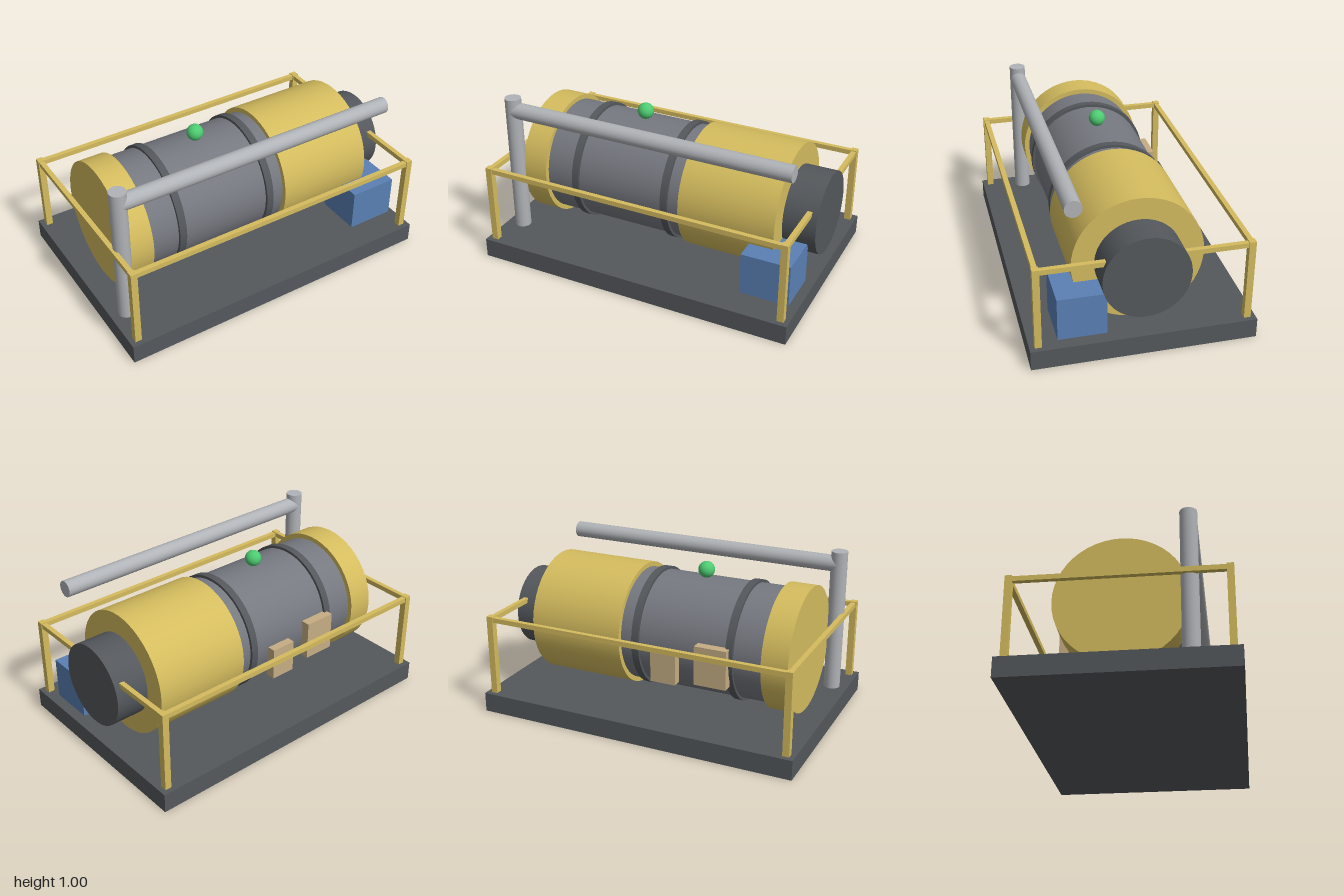
import * as THREE from 'three';

const mat = (name, color) => {
  const m = new THREE.MeshStandardMaterial({ color });
  m.name = name;
  return m;
};

export function createModel() {
  const model = new THREE.Group();
  model.name = 'skidMachine';

  const yellow = mat('yellow', 0xd4bc5e);
  const dark = mat('charcoal', 0x54585c);
  const grey = mat('steelGrey', 0x767980);
  const silver = mat('silver', 0xb0b3b7);
  const blue = mat('blue', 0x5a80b4);
  const tan = mat('tan', 0xc6ae84);
  const green = mat('green', 0x4ecb72);

  const add = (name, geometry, material, x, y, z, parent = model) => {
    const mesh = new THREE.Mesh(geometry, material);
    mesh.name = name;
    mesh.position.set(x, y, z);
    parent.add(mesh);
    return mesh;
  };
  const box = (name, w, h, d, material, x, y, z, parent) =>
    add(name, new THREE.BoxGeometry(w, h, d), material, x, y, z, parent);
  // Cylinder lying along x between two ends
  const drum = (name, r, x0, x1, material, y = 0.5, z = 0, sides = 48) =>
    add(name, new THREE.CylinderGeometry(r, r, x1 - x0, sides).rotateZ(-Math.PI / 2),
      material, (x0 + x1) / 2, y, z);

  // Base slab
  box('base', 2, 0.12, 1.3, dark, 0, 0.06, 0);

  // Main horizontal body
  drum('rearCap', 0.38, -0.86, -0.7, yellow);
  drum('barrel', 0.35, -0.7, 0.2, grey);
  drum('frontHousing', 0.38, 0.2, 0.8, yellow);
  drum('nozzle', 0.25, 0.8, 1, dark);
  for (const x of [-0.5, 0.1]) drum('band', 0.367, x - 0.0225, x + 0.0225, dark);

  // Beacon on top of the barrel
  add('beacon', new THREE.SphereGeometry(0.05, 24, 16), green, -0.2, 0.9, 0);

  // Exhaust stack and long overhead pipe
  add('stack', new THREE.CylinderGeometry(0.05, 0.05, 0.88, 24), silver, -0.9, 0.56, 0.38);
  drum('overheadPipe', 0.05, -0.9, 0.9, silver, 0.92, 0.38, 24);

  // Control cabinet and side boxes
  box('cabinet', 0.3, 0.26, 0.28, blue, 0.8, 0.27, 0.35);
  box('largeSideBox', 0.2, 0.24, 0.06, tan, -0.4, 0.45, -0.37);
  box('smallSideBox', 0.16, 0.2, 0.06, tan, -0.1, 0.4, -0.37);

  // Guard rail around the base
  const railing = new THREE.Group();
  railing.name = 'railing';
  model.add(railing);
  for (const s of [-1, 1]) {
    for (const t of [-1, 1]) box('post', 0.04, 0.5, 0.04, yellow, s * 0.95, 0.37, t * 0.6, railing);
    box('longRail', 1.9, 0.03, 0.03, yellow, 0, 0.6, s * 0.6, railing);
    box('endRail', 0.03, 0.03, 1.2, yellow, s * 0.95, 0.6, 0, railing);
  }

  return model;
}
